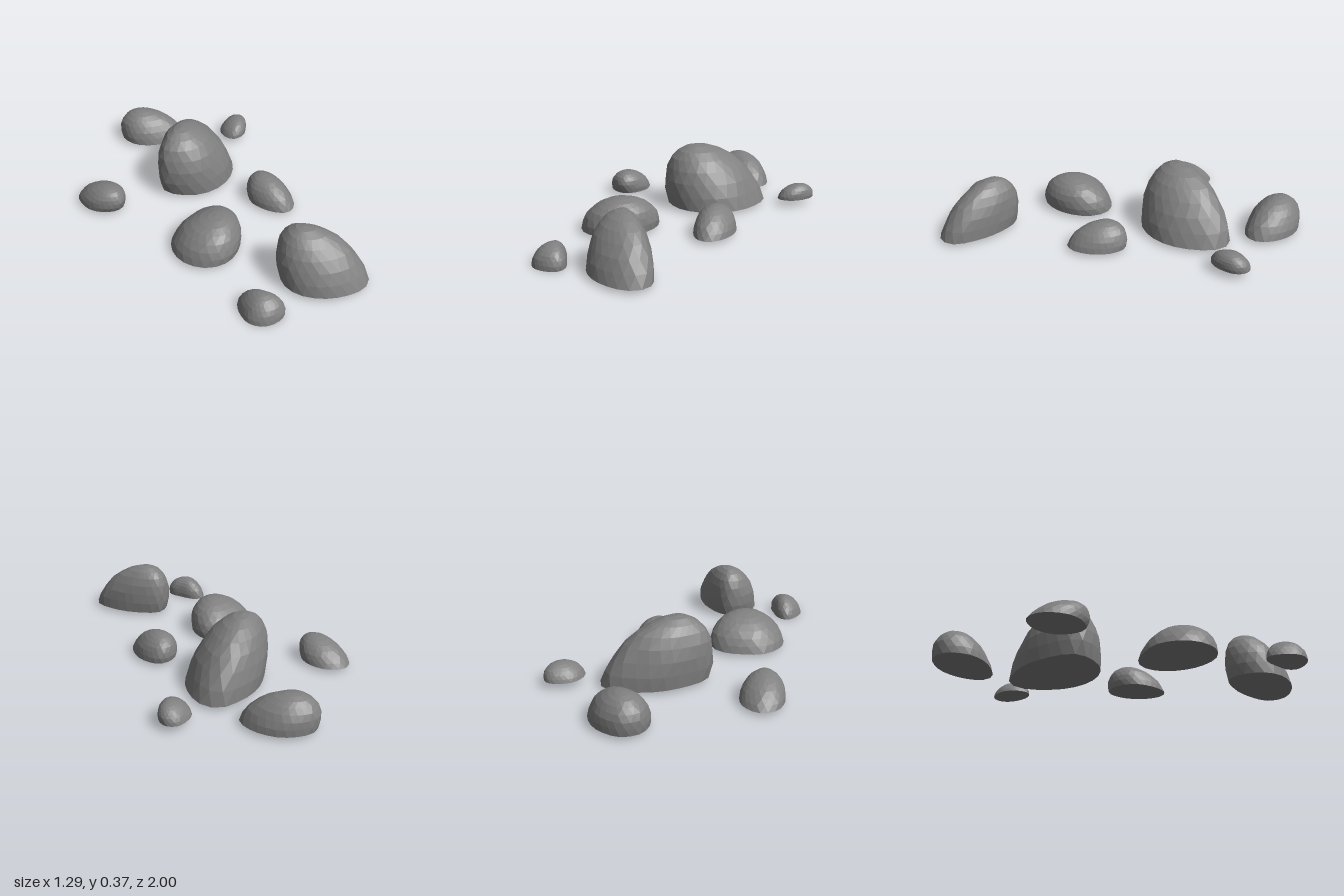
import * as THREE from 'three';

const SIDES = 22, RINGS = 7;
const material = new THREE.MeshStandardMaterial({ color: 0x808080, flatShading: true });

// A flat-bottomed boulder: a plan outline domed up to `top`, its crown shifted by `lean` [x, z].
// Outline points [x, z] run from the back over -x to the front and +x.
function rock(name, base, top, lean, outline) {
  const curve = new THREE.CatmullRomCurve3(outline.map(([x, z]) => new THREE.Vector3(x, 0, z)), true);
  const centre = new THREE.Box3().setFromPoints(curve.getPoints(80)).getCenter(new THREE.Vector3());
  const pos = [], index = [];

  for (let k = 0; k < RINGS; k++) {
    const t = (k / RINGS) * Math.PI / 2, v = Math.sin(t);
    for (let j = 0; j < SIDES; j++) {
      const p = curve.getPointAt(((j + (k % 2) / 2) / SIDES) % 1).sub(centre);
      const r = p.length();
      // pull the foot in where the crown leans out, so the bulge meets the outline
      const out = Math.max(0, (p.x * lean[0] + p.z * lean[1]) / r);
      const chip = k ? 1 + 0.012 * Math.sin(j * 7.3 + k * 4.1 + base * 50 + top * 90) : 1;
      const s = Math.sqrt(1 - (out / r) ** 2) * Math.cos(t) * chip;
      pos.push(centre.x + p.x * s + lean[0] * v, base + (top - base) * v, centre.z + p.z * s + lean[1] * v);
    }
  }
  const apex = pos.length / 3, foot = apex + 1;
  pos.push(centre.x + lean[0], top, centre.z + lean[1], centre.x, base, centre.z);

  // staggered triangles between rings, a crown fan and a flat underside
  for (let j = 0; j < SIDES; j++) {
    const n = (j + 1) % SIDES;
    for (let k = 0; k < RINGS - 1; k++) {
      const a = k * SIDES + j, b = k * SIDES + n, c = a + SIDES, d = b + SIDES;
      if (k % 2) index.push(a, b, d, a, d, c);
      else index.push(a, b, c, b, d, c);
    }
    const last = (RINGS - 1) * SIDES;
    index.push(last + j, last + n, apex, foot, n, j);
  }
  const indexed = new THREE.BufferGeometry();
  indexed.setAttribute('position', new THREE.Float32BufferAttribute(pos, 3));
  indexed.setIndex(index);
  const geometry = indexed.toNonIndexed();
  geometry.computeVertexNormals();
  const mesh = new THREE.Mesh(geometry, material);
  mesh.name = name;
  return mesh;
}

export function createModel() {
  const group = new THREE.Group();
  group.name = 'rocks';

  group.add(rock('largeRock', 0.018, 0.365, [-0.105, 0.0], [
    [0.21, -0.55], [0.08, -0.535], [-0.08, -0.47], [-0.18, -0.385], [-0.214, -0.3], [-0.17, -0.205],
    [-0.085, -0.135], [0.03, -0.11], [0.16, -0.135], [0.27, -0.215], [0.342, -0.345], [0.358, -0.45], [0.315, -0.53]]));

  group.add(rock('tallFrontRock', 0.018, 0.295, [-0.018, -0.092], [
    [-0.2, 0.55], [-0.29, 0.59], [-0.352, 0.69], [-0.35, 0.795], [-0.29, 0.9], [-0.195, 0.97],
    [-0.1, 1], [-0.03, 0.983], [0.01, 0.925], [0.0, 0.84], [-0.045, 0.715], [-0.115, 0.6]]));

  group.add(rock('roundMiddleRock', 0.018, 0.195, [0.028, 0.035], [
    [-0.35, -0.002], [-0.45, 0.015], [-0.53, 0.09], [-0.562, 0.195], [-0.53, 0.305], [-0.455, 0.365],
    [-0.37, 0.375], [-0.255, 0.33], [-0.175, 0.235], [-0.15, 0.145], [-0.17, 0.06], [-0.24, 0.008]]));

  group.add(rock('backRock', 0.018, 0.187, [-0.03, -0.045], [
    [0.13, -1], [0.035, -0.95], [0.015, -0.83], [0.07, -0.735], [0.16, -0.675],
    [0.26, -0.645], [0.325, -0.685], [0.338, -0.79], [0.295, -0.9], [0.22, -0.97]]));

  group.add(rock('smallMiddleRock', 0.018, 0.155, [-0.005, -0.05], [
    [0.19, 0.012], [0.115, 0.035], [0.06, 0.11], [0.055, 0.185], [0.075, 0.27], [0.11, 0.32],
    [0.155, 0.333], [0.215, 0.302], [0.268, 0.215], [0.28, 0.12], [0.25, 0.035]]));

  group.add(rock('ovalBackRock', 0.018, 0.14, [-0.005, 0.07], [
    [-0.485, -0.67], [-0.565, -0.63], [-0.6, -0.525], [-0.585, -0.43], [-0.535, -0.37],
    [-0.475, -0.353], [-0.41, -0.395], [-0.37, -0.5], [-0.395, -0.61]]));

  group.add(rock('smallFrontRock', 0, 0.112, [0.015, 0.01], [
    [-0.56, 0.59], [-0.605, 0.62], [-0.64, 0.685], [-0.648, 0.735], [-0.615, 0.8], [-0.535, 0.83],
    [-0.478, 0.815], [-0.46, 0.77], [-0.478, 0.7], [-0.513, 0.62]]));

  group.add(rock('smallSideRock', 0.037, 0.122, [0.02, 0.01], [
    [0.565, -0.55], [0.485, -0.52], [0.445, -0.45], [0.455, -0.385], [0.515, -0.366],
    [0.588, -0.395], [0.637, -0.45], [0.642, -0.508], [0.607, -0.545]]));

  return group;
}
